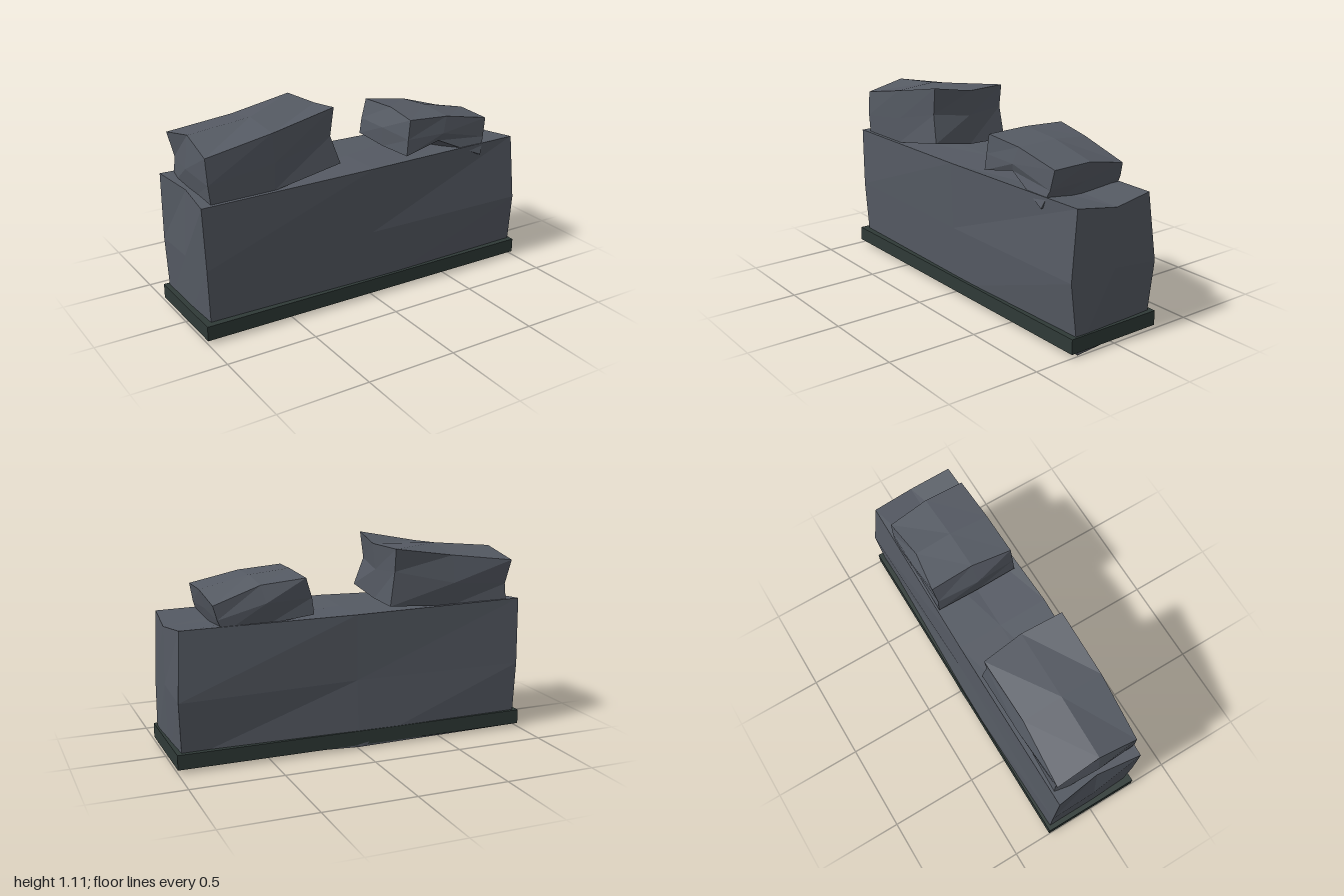
import * as THREE from 'three';

const stone = new THREE.MeshStandardMaterial({ color: 0x555a63 });
stone.name = 'slate stone';
const moss = new THREE.MeshStandardMaterial({ color: 0x2f3a37 });
moss.name = 'dark moss';

// Rough-hewn block: a 2x2x2 segmented box whose lattice points are displaced.
// Points run left to right, then back to front, then bottom to top.
function roughBlock(name, points) {
  const box = new THREE.BoxGeometry(2, 2, 2, 2, 2, 2);
  const pos = box.attributes.position;
  for (let i = 0; i < pos.count; i++) {
    const ix = Math.round(pos.getX(i)) + 1;
    const iy = Math.round(pos.getY(i)) + 1;
    const iz = Math.round(pos.getZ(i)) + 1;
    pos.setXYZ(i, ...points[iy * 9 + iz * 3 + ix]);
  }
  const geometry = box.toNonIndexed(); // separate faces for hard facets
  geometry.computeVertexNormals();
  const mesh = new THREE.Mesh(geometry, stone);
  mesh.name = name;
  return mesh;
}

export function createModel() {
  const group = new THREE.Group();
  group.name = 'stoneWall';

  // Footing strip
  const footing = new THREE.Mesh(new THREE.BoxGeometry(2, 0.08, 0.56), moss);
  footing.name = 'footing';
  footing.position.y = 0.06;
  group.add(footing);

  // Main wall block
  group.add(roughBlock('wallBlock', [
    [-0.97, 0.012, -0.26], [0, 0.01, -0.281], [0.97, 0.05, -0.25],
    [-0.97, 0.03, 0], [0, 0.013, 0], [0.98, 0.012, 0],
    [-0.96, 0.04, 0.24], [0, 0.035, 0.26], [0.99, 0, 0.235],
    [-0.985, 0.38, -0.265], [0, 0.38, -0.255], [0.985, 0.37, -0.277],
    [-0.98, 0.38, 0], [0, 0.38, 0], [0.99, 0.4, 0],
    [-0.975, 0.39, 0.255], [0, 0.38, 0.27], [0.98, 0.38, 0.277],
    [-0.99, 0.755, -0.25], [0, 0.74, -0.25], [0.96, 0.735, -0.24],
    [-0.955, 0.74, 0], [0, 0.74, 0], [0.985, 0.71, 0],
    [-0.985, 0.73, 0.25], [0, 0.75, 0.28], [0.97, 0.745, 0.24],
  ]));

  // Large cap stone
  group.add(roughBlock('largeCapStone', [
    [-0.92, 0.69, -0.24], [-0.58, 0.74, -0.22], [-0.2, 0.765, -0.235],
    [-0.92, 0.69, 0], [-0.57, 0.73, 0], [-0.21, 0.765, 0],
    [-0.92, 0.69, 0.23], [-0.58, 0.735, 0.24], [-0.19, 0.808, 0.245],
    [-0.91, 0.84, -0.23], [-0.58, 0.87, -0.248], [-0.23, 0.95, -0.222],
    [-0.95, 0.85, 0], [-0.58, 0.88, 0], [-0.215, 0.93, 0],
    [-0.935, 0.83, 0.23], [-0.57, 0.88, 0.24], [-0.24, 0.96, 0.225],
    [-0.94, 0.975, -0.245], [-0.58, 1.02, -0.22], [-0.23, 1.075, -0.235],
    [-0.93, 1.025, 0], [-0.58, 1.06, 0], [-0.2, 1.075, 0],
    [-0.94, 0.97, 0.22], [-0.58, 1.04, 0.238], [-0.22, 1.112, 0.228],
  ]));

  // Small cap stone
  group.add(roughBlock('smallCapStone', [
    [0.24, 0.76, -0.24], [0.48, 0.73, -0.23], [0.73, 0.7, -0.235],
    [0.24, 0.75, 0], [0.48, 0.73, 0], [0.73, 0.69, 0],
    [0.24, 0.76, 0.235], [0.46, 0.808, 0.225], [0.73, 0.685, 0.262],
    [0.25, 0.85, -0.235], [0.5, 0.84, -0.245], [0.76, 0.77, -0.235],
    [0.235, 0.86, 0], [0.5, 0.84, 0], [0.765, 0.79, 0],
    [0.25, 0.85, 0.23], [0.48, 0.85, 0.24], [0.765, 0.78, 0.235],
    [0.285, 0.957, -0.245], [0.52, 0.93, -0.21], [0.78, 0.845, -0.228],
    [0.29, 0.97, 0], [0.52, 0.95, 0], [0.79, 0.89, 0],
    [0.265, 0.957, 0.225], [0.51, 0.94, 0.225], [0.785, 0.885, 0.225],
  ]));

  return group;
}
